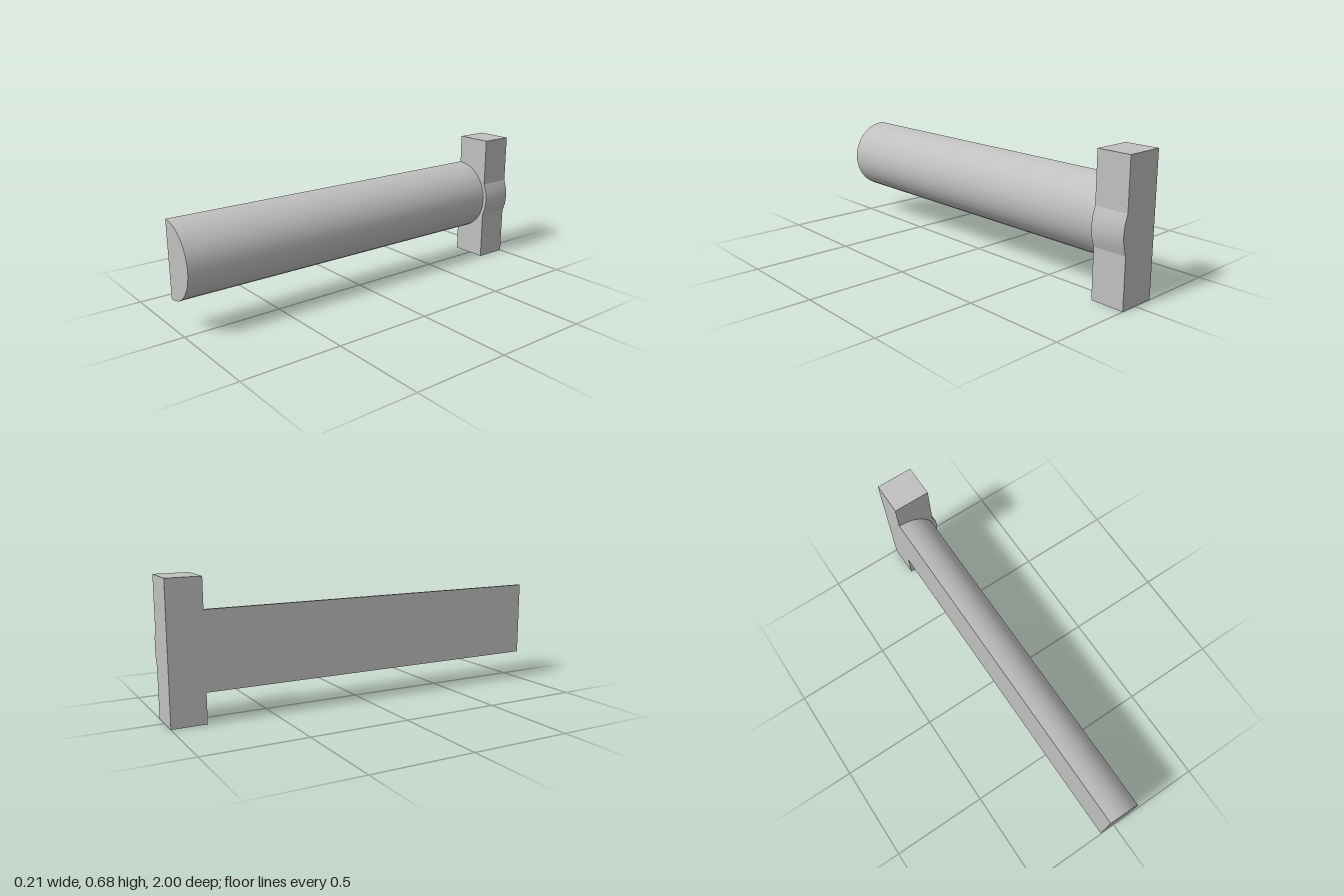
import * as THREE from 'three';
import { toCreasedNormals } from 'three/addons/utils/BufferGeometryUtils.js';

const BACK_X = -0.106; // flat side shared by both parts
const MID_Y = 0.34;

// Points on an arc centred on the flat side, from angle -a to +a
function arc(radius, a, segments) {
  return Array.from({ length: segments + 1 }, (_, i) => {
    const t = -a + (2 * a * i) / segments;
    return new THREE.Vector2(BACK_X + radius * Math.cos(t), MID_Y + radius * Math.sin(t));
  });
}

function prism(name, points, z0, z1, material) {
  const geometry = new THREE.ExtrudeGeometry(new THREE.Shape(points), {
    depth: z1 - z0, bevelEnabled: false,
  });
  geometry.translate(0, 0, z0);
  const mesh = new THREE.Mesh(toCreasedNormals(geometry, 0.3), material);
  mesh.name = name;
  return mesh;
}

export function createModel() {
  const grey = new THREE.MeshStandardMaterial({ color: 0xc0c0c0 });
  grey.name = 'light grey';
  const group = new THREE.Group();
  group.name = 'halfRoundPin';

  // Long half-round shaft
  group.add(prism('shaft', arc(0.191, Math.PI / 2, 15), -0.83, 1, grey));

  // Upright head block with a shallow round bulge on its outer side
  const sideX = 0.085, bulgeRadius = 0.212;
  const head = [
    new THREE.Vector2(BACK_X, 0),
    new THREE.Vector2(sideX, 0),
    ...arc(bulgeRadius, Math.acos((sideX - BACK_X) / bulgeRadius), 4),
    new THREE.Vector2(sideX, 0.68),
    new THREE.Vector2(BACK_X, 0.68),
  ];
  group.add(prism('head', head, -1, -0.83, grey));

  return group;
}
